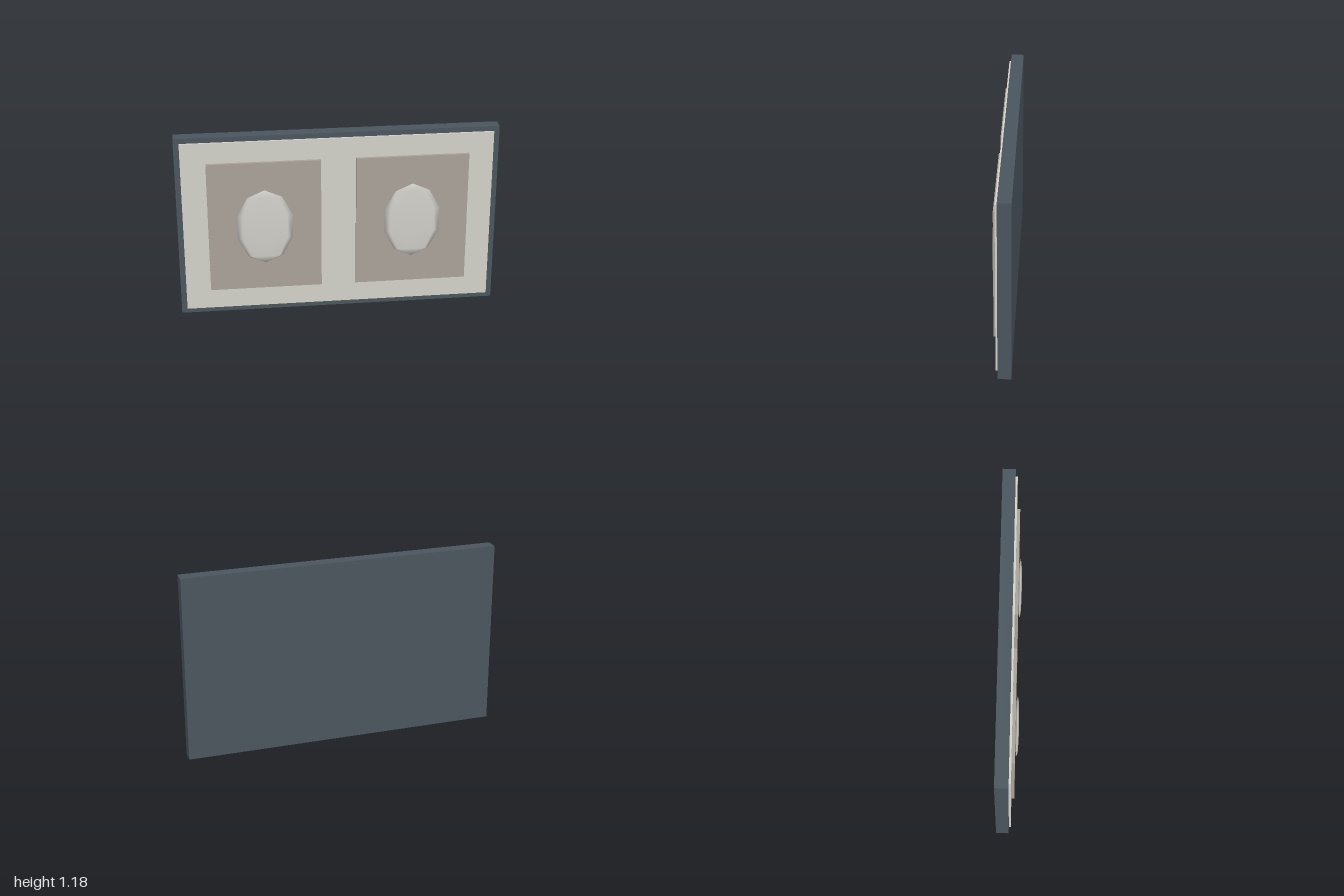
import * as THREE from 'three';

const material = (color) => new THREE.MeshStandardMaterial({ color });

// Box given by its centre x and its y and z ranges
function slab(name, x, width, [y0, y1], [z0, z1], mat) {
  const mesh = new THREE.Mesh(new THREE.BoxGeometry(width, y1 - y0, z1 - z0), mat);
  mesh.position.set(x, (y0 + y1) / 2, (z0 + z1) / 2);
  mesh.name = name;
  return mesh;
}

export function createModel() {
  const model = new THREE.Group();
  model.name = 'doublePanel';
  const dark = material(0x4a555d);
  const cream = material(0xd2d1c8);
  const taupe = material(0xa9a298);
  const pale = material(0xcfcec8);

  // Dark backing board and the lighter sheet on its front
  model.add(slab('backingBoard', 0, 2, [0, 1.182], [-0.066, 0.015], dark));
  model.add(slab('frontSheet', 0, 1.93, [0.034, 1.15], [0.015, 0.028], cream));

  // Two mounting plates, each with a flattened faceted oval
  for (const [side, sign] of [['left', 1], ['right', -1]]) {
    const x = sign * 0.46;
    model.add(slab(side + 'Plate', x, 0.702, [0.168, 1.018], [0.028, 0.047], taupe));

    const oval = new THREE.Mesh(new THREE.SphereGeometry(1, 10, 5), pale);
    oval.scale.set(0.181, 0.246, 0.0118);
    oval.position.set(x, 0.594, 0.056);
    oval.name = side + 'Oval';
    model.add(oval);
  }
  return model;
}
